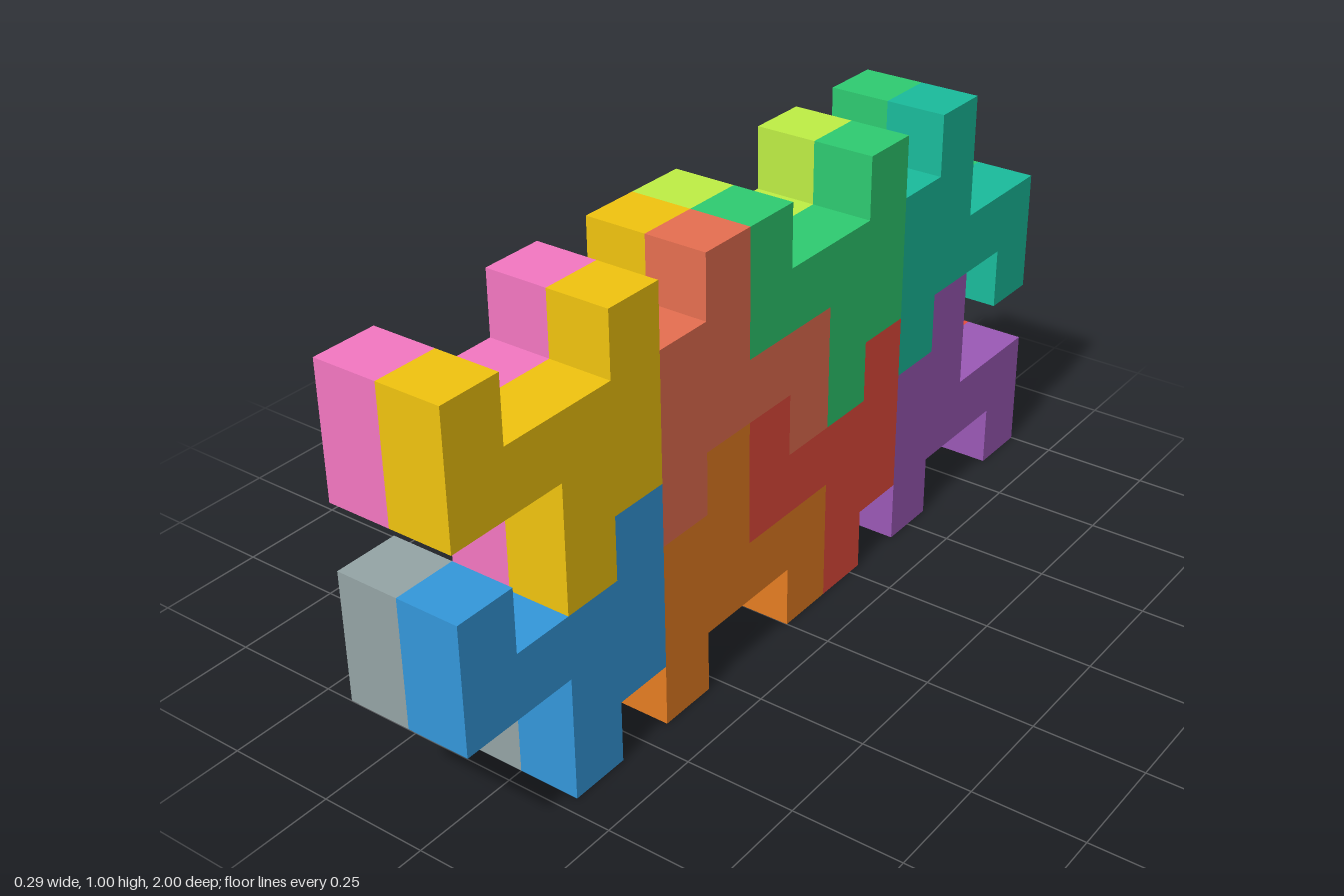
import * as THREE from 'three';

const U = 1 / 7; // edge of one cell

// Nine-cell tile outlines, in cells (first axis runs from front to back)
const HOOK = [[2, 0], [3, 0], [3, 1], [4, 1], [4, 4], [3, 4], [3, 3], [1, 3], [1, 4], [0, 4], [0, 2], [2, 2]];
const STEP = [[0, 0], [1, 0], [1, 1], [3, 1], [3, 0], [4, 0], [4, 2], [2, 2], [2, 4], [1, 4], [1, 3], [0, 3]];

// Tiles of one row: outline and first column
const ROW = [
  { name: 'frontTile', outline: HOOK, column: 0 },
  { name: 'frontMiddleTile', outline: STEP, column: 4 },
  { name: 'backMiddleTile', outline: HOOK, column: 6 },
  { name: 'backTile', outline: STEP, column: 10 },
];

// Colours from front to back for each layer and row
const LAYERS = [
  { name: 'leftUpper', x: 0, row: 3, colors: [0xf1c40f, 0xe76f51, 0x2ecc71, 0x1abc9c] },
  { name: 'leftLower', x: 0, row: 0, colors: [0x3498db, 0xe67e22, 0xe74c3c, 0x9b59b6] },
  { name: 'rightUpper', x: -U, row: 3, colors: [0xf578c2, 0xf1c40f, 0xbfef45, 0x2ecc71] },
  { name: 'rightLower', x: -U, row: 0, colors: [0x95a5a6, 0x3498db, 0x34495e, 0xe74c3c] },
];

function tileGeometry(outline) {
  const shape = new THREE.Shape(outline.map(([c, r]) => new THREE.Vector2(c * U, r * U)));
  const geometry = new THREE.ExtrudeGeometry(shape, { depth: U, bevelEnabled: false });
  return geometry.rotateY(Math.PI / 2); // outline runs towards -z, thickness towards +x
}

export function createModel() {
  const model = new THREE.Group();
  model.name = 'interlockingTileBlock';
  for (const layer of LAYERS) {
    const group = new THREE.Group();
    group.name = layer.name + 'Row';
    ROW.forEach((tile, i) => {
      const mesh = new THREE.Mesh(
        tileGeometry(tile.outline),
        new THREE.MeshStandardMaterial({ color: layer.colors[i] }),
      );
      mesh.name = tile.name;
      mesh.position.set(layer.x, layer.row * U, 1 - tile.column * U);
      group.add(mesh);
    });
    model.add(group);
  }
  return model;
}
